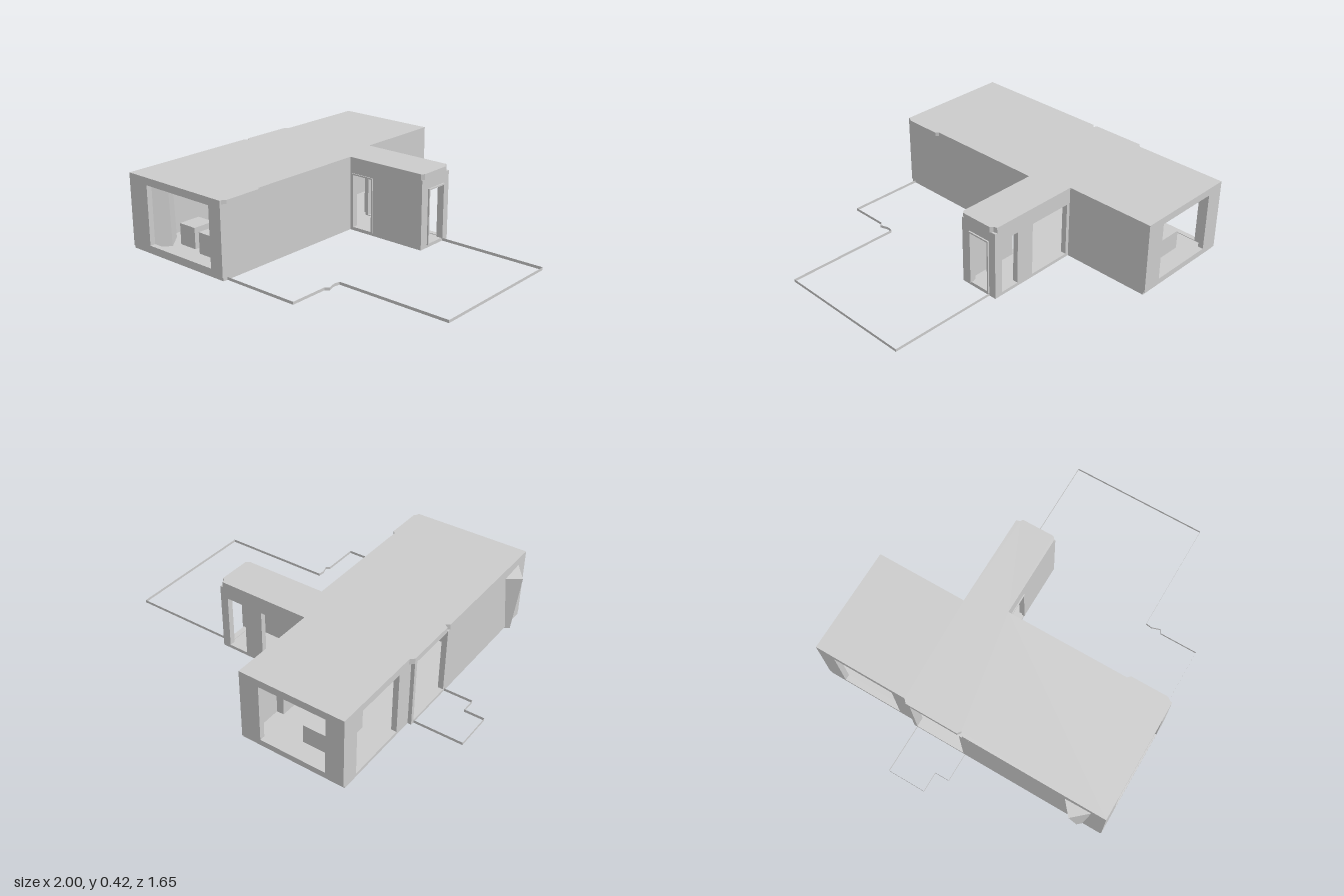
import * as THREE from 'three';

const FLOOR = 0.03, TOP = 0.42, T = 0.03;

export function createModel() {
  const house = new THREE.Group();
  house.name = 'house';
  const grey = new THREE.MeshStandardMaterial({ color: 0xcccccc, flatShading: true });
  const thin = new THREE.MeshStandardMaterial({ color: 0xcccccc, flatShading: true, side: THREE.DoubleSide });

  const add = (name, geometry, material = grey) => {
    const mesh = new THREE.Mesh(geometry, material);
    mesh.name = name;
    house.add(mesh);
    return mesh;
  };

  // Box from its minimum and maximum on each axis
  const box = (name, [x0, x1], [y0, y1], [z0, z1]) => {
    const mesh = add(name, new THREE.BoxGeometry(x1 - x0, y1 - y0, z1 - z0));
    mesh.position.set((x0 + x1) / 2, (y0 + y1) / 2, (z0 + z1) / 2);
    return mesh;
  };

  // Upright panel from a to b with openings [a0, a1, y0, y1]
  const panel = (a, b, openings) => {
    const rect = (Type, l, r, y0, y1) => new Type([[l, y0], [r, y0], [r, y1], [l, y1]]
      .map(([x, y]) => new THREE.Vector2(x, y)));
    const shape = rect(THREE.Shape, a, b, FLOOR, TOP - T);
    // openings that start at the floor keep a hairline threshold
    shape.holes = openings.map(([l, r, y0, y1]) => rect(THREE.Path, l, r, Math.max(y0, FLOOR + 0.003), y1));
    return new THREE.ExtrudeGeometry(shape, { depth: T, bevelEnabled: false });
  };
  // Wall running along x, its back at z
  const wallX = (name, x0, x1, z, openings = []) => {
    add(name, panel(x0, x1, openings)).position.z = z;
  };
  // Wall running along z, its left face at x
  const wallZ = (name, z0, z1, x, openings = []) => {
    const mesh = add(name, panel(z0, z1, openings));
    mesh.rotation.y = -Math.PI / 2;
    mesh.position.x = x;
  };

  // Horizontal slab from a plan outline of [x, z] points
  const slab = (name, plan, y, height) => {
    const shape = new THREE.Shape(plan.map(([x, z]) => new THREE.Vector2(x, -z)));
    const mesh = add(name, new THREE.ExtrudeGeometry(shape, { depth: height, bevelEnabled: false }));
    mesh.rotation.x = -Math.PI / 2;
    mesh.position.y = y;
  };

  // Roof and floor
  slab('roof', [
    [-0.71, -0.83], [-0.13, -0.83], [-0.13, -0.33], [0.385, -0.33], [0.39, -0.31], [0.405, -0.3],
    [0.405, -0.12], [0.39, -0.105], [-0.07, -0.105], [-0.07, 0.82], [-0.73, 0.82], [-0.73, 0.03],
    [-0.71, 0.015], [-0.73, 0.0], [-0.73, -0.29], [-0.71, -0.31],
  ], TOP - T, T);
  slab('roofLip', [[-0.08, 0.57], [-0.07, 0.57], [-0.055, 0.585], [-0.055, 0.79], [-0.07, 0.81], [-0.08, 0.81]], 0.4, 0.02);
  slab('floor', [
    [-0.71, -0.82], [-0.13, -0.82], [-0.13, -0.33], [0.4, -0.33], [0.4, -0.105], [-0.07, -0.105],
    [-0.07, 0.815], [-0.73, 0.815], [-0.73, -0.29], [-0.71, -0.29],
  ], 0.015, FLOOR - 0.015);

  // Main block
  wallX('frontWall', -0.73, -0.07, 0.79, [[-0.6, -0.15, 0.06, 0.38]]);
  wallX('backWall', -0.71, -0.13, -0.83, [[-0.61, -0.24, 0.06, 0.38]]);
  wallZ('leftFrontWall', 0.02, 0.79, -0.7);
  wallZ('leftBackWall', -0.8, -0.27, -0.68, [[-0.73, -0.39, FLOOR, 0.38]]);
  wallZ('rightFrontWall', -0.105, 0.79, -0.07);
  wallZ('rightBackWall', -0.8, -0.33, -0.13);

  // Entrance wing
  wallX('wingFrontWall', -0.07, 0.4, -0.135, [[-0.05, 0.08, FLOOR, 0.33]]);
  wallX('wingBackWall', -0.13, 0.4, -0.33, [[-0.11, 0.14, FLOOR, 0.33], [0.245, 0.355, FLOOR, 0.33]]);
  wallZ('wingEndWall', -0.3, -0.135, 0.4, [[-0.28, -0.16, FLOOR, 0.33]]);

  // Slim door frames
  for (const x of [-0.053, 0.078]) box('frontDoorFrame', [x - 0.004, x + 0.004], [FLOOR, 0.33], [-0.115, -0.1]);
  box('frontDoorFrame', [-0.057, 0.082], [0.325, 0.333], [-0.115, -0.1]);
  for (const z of [-0.284, -0.16]) box('endDoorFrame', [0.385, 0.408], [FLOOR, 0.33], [z - 0.004, z + 0.004]);
  box('endDoorFrame', [0.385, 0.408], [0.325, 0.333], [-0.288, -0.156]);

  // Posts beside the side opening
  for (const z of [-0.28, 0.02]) box('sidePost', [-0.73, -0.7], [FLOOR, TOP - T], [z - 0.01, z + 0.01]);

  // Furniture
  box('frontSeat', [-0.56, -0.45], [FLOOR, 0.145], [0.53, 0.655]);
  box('frontSeat', [-0.39, -0.28], [FLOOR, 0.145], [0.56, 0.68]);
  box('table', [-0.56, -0.45], [FLOOR, 0.145], [0.34, 0.46]);
  box('cabinet', [-0.27, -0.15], [FLOOR, 0.16], [0.1, 0.24]);
  box('bed', [-0.56, -0.39], [FLOOR, 0.135], [-0.7, -0.455]);
  box('hangingCupboard', [-0.51, -0.39], [0.295, 0.39], [-0.02, 0.1]);
  box('tallCabinet', [-0.2, -0.15], [FLOOR, 0.26], [-0.6, -0.48]);

  // Leaning block that breaks through the left wall, placed by its outer top corner
  const down = new THREE.Vector3(0.05, -0.355, 0.03).normalize();
  const inward = new THREE.Vector3(0.76, 0.05, -0.65).normalize();
  inward.addScaledVector(down, -inward.dot(down)).normalize();
  const across = new THREE.Vector3().crossVectors(inward, down);
  if (across.x < 0) across.negate();
  const up = down.clone().negate();
  const side = new THREE.Vector3().crossVectors(inward, up);
  const block = add('leaningBlock', new THREE.BoxGeometry(0.13, 0.36, 0.13));
  block.quaternion.setFromRotationMatrix(new THREE.Matrix4().makeBasis(inward, up, side));
  block.position.set(-0.8, 0.36, 0.66)
    .addScaledVector(inward, 0.065).addScaledVector(across, 0.065).addScaledVector(down, 0.18);

  // Terrace edging: upright strips without thickness
  const strip = (name, path) => {
    const positions = path.flatMap(([x, z]) => [x, 0.015, z, x, FLOOR, z]);
    const index = path.slice(1).flatMap((_, i) => [2 * i, 2 * i + 2, 2 * i + 1, 2 * i + 1, 2 * i + 2, 2 * i + 3]);
    const geometry = new THREE.BufferGeometry();
    geometry.setAttribute('position', new THREE.Float32BufferAttribute(positions, 3));
    geometry.setIndex(index);
    geometry.computeVertexNormals();
    add(name, geometry, thin);
  };
  strip('leftTerraceEdge', [
    [-0.07, 0.79], [0.36, 0.79], [0.36, 0.58], [0.38, 0.565], [0.365, 0.52], [0.37, 0.485],
    [1, 0.485], [1, -0.29], [0.4, -0.29],
  ]);
  strip('rightTerraceEdge', [
    [-0.72, -0.27], [-1, -0.27], [-1, -0.06], [-0.89, -0.06], [-0.89, 0.02], [-0.72, 0.02],
  ]);

  return house;
}
